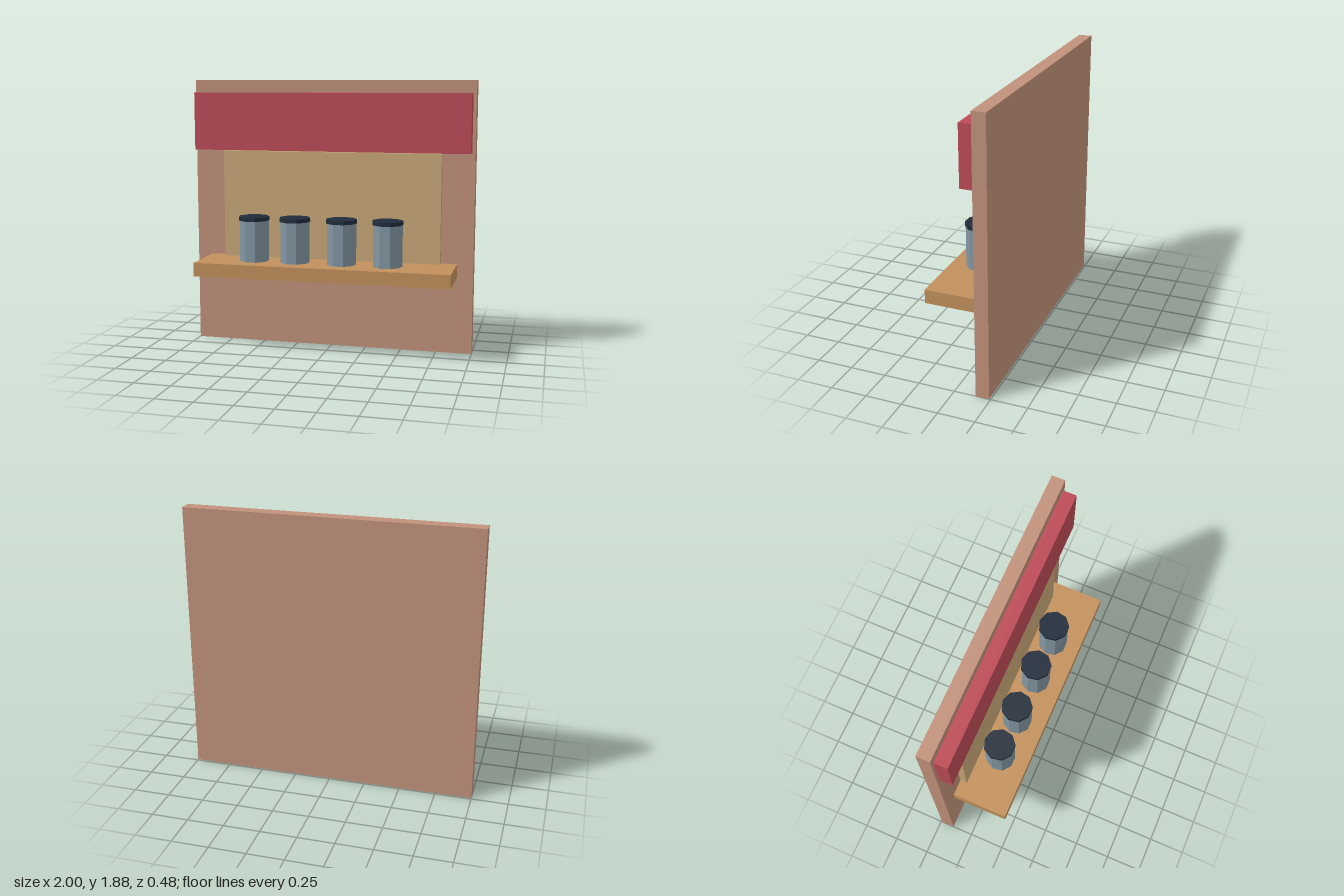
import * as THREE from 'three';

const mat = (name, color) => {
  const m = new THREE.MeshStandardMaterial({ color });
  m.name = name;
  return m;
};

export function createModel() {
  const group = new THREE.Group();
  const clay = mat('clay wall', 0xc0917a);
  const red = mat('red awning', 0xbc4a56);
  const tan = mat('tan panel', 0xc8a878);
  const wood = mat('counter wood', 0xc2905c);
  const steel = mat('jar blue grey', 0x8296a2);
  const navy = mat('lid navy', 0x202c3a);

  // Box given by its limits on each axis
  const box = (name, material, [x0, x1], [y0, y1], [z0, z1]) => {
    const mesh = new THREE.Mesh(new THREE.BoxGeometry(x1 - x0, y1 - y0, z1 - z0), material);
    mesh.position.set((x0 + x1) / 2, (y0 + y1) / 2, (z0 + z1) / 2);
    mesh.name = name;
    group.add(mesh);
  };

  const wallFront = -0.148;
  box('wall', clay, [-1, 1], [0, 1.885], [-0.24, wallFront]);
  box('awning', red, [-0.978, 0.977], [1.395, 1.798], [wallFront, -0.056]);
  box('windowPanel', tan, [-0.778, 0.778], [0.63, 1.388], [wallFront, -0.1]);
  box('counter', wood, [-0.89, 0.89], [0.535, 0.63], [wallFront, 0.24]);

  // Nine-sided faceted drum with a flat side facing the front
  const drum = (name, geometryRadius, y0, y1, material) => {
    const geometry = new THREE.CylinderGeometry(geometryRadius, geometryRadius, y1 - y0, 9, 1, false, Math.PI).toNonIndexed();
    geometry.computeVertexNormals();
    const mesh = new THREE.Mesh(geometry, material);
    mesh.position.y = (y0 + y1) / 2;
    mesh.name = name;
    return mesh;
  };

  // Row of lidded jars on the counter
  [-0.51, -0.216, 0.115, 0.436].forEach((x, i) => {
    const jar = new THREE.Group();
    jar.name = `jar${i + 1}`;
    jar.add(drum('jarBody', 0.103, 0.63, 0.916, steel), drum('jarLid', 0.108, 0.916, 0.943, navy));
    jar.position.set(x, 0, 0.04);
    group.add(jar);
  });

  return group;
}
